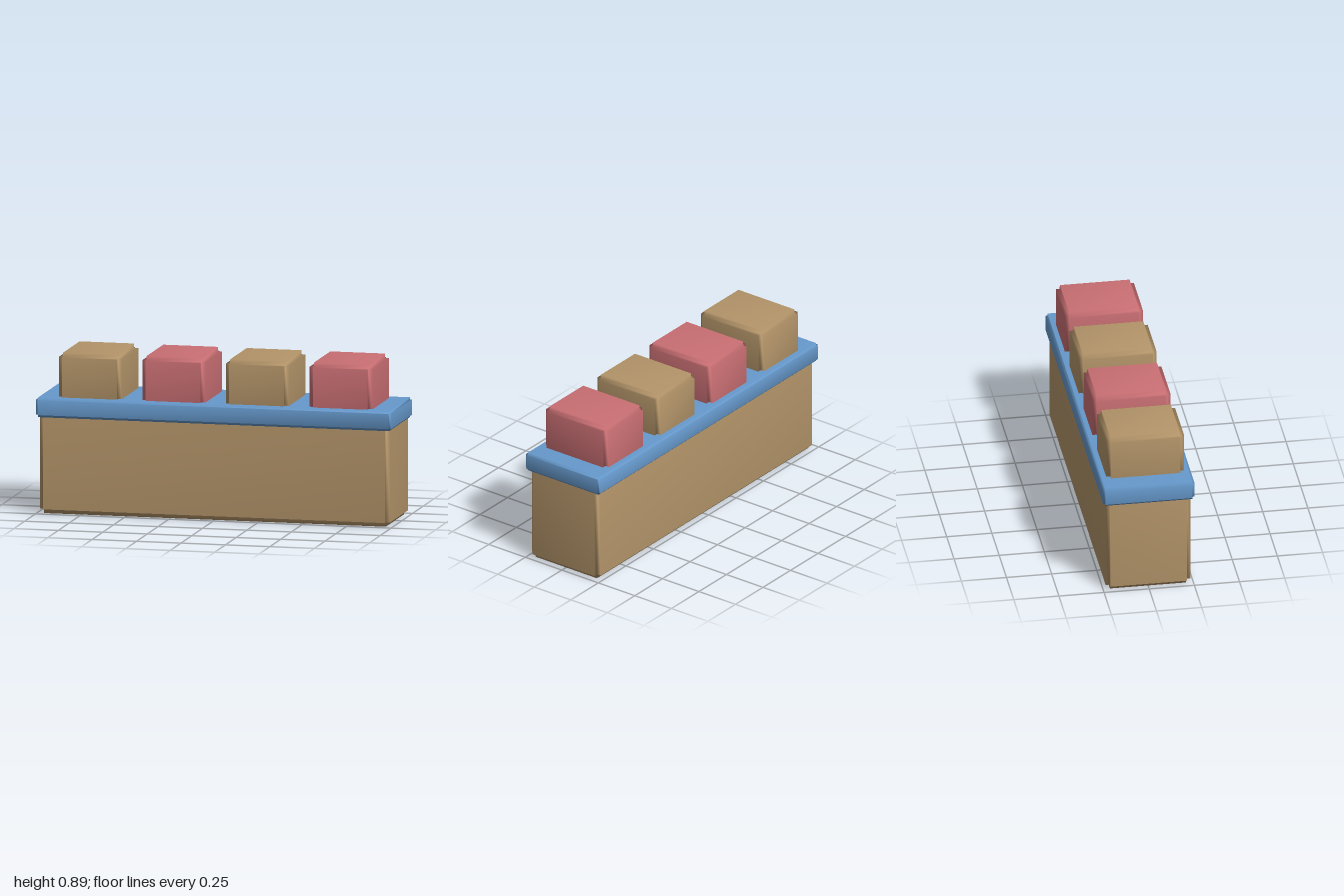
import * as THREE from 'three';

// Box whose twelve edges are cut by a square step of size b, with smooth shared normals.
function steppedBox(w, h, d, b) {
  const half = [w / 2, h / 2, d / 2];
  const positions = [], index = [];
  const sign = (bits, axis) => ((bits >> axis) & 1 ? 1 : -1);

  // Corners 0-7 belong to the core; each axis then adds 8 corners pushed outward.
  for (let axis = -1; axis < 3; axis++) {
    for (let bits = 0; bits < 8; bits++) {
      for (let k = 0; k < 3; k++) {
        positions.push(sign(bits, k) * (half[k] - (k === axis ? 0 : b)));
      }
    }
  }
  const quad = (p, q, r, s) => index.push(p, q, r, p, r, s);

  for (let a = 0; a < 3; a++) {
    const u = 1 << ((a + 1) % 3), v = 1 << ((a + 2) % 3);
    for (const side of [0, 1 << a]) {
      const ring = [side, side | u, side | u | v, side | v];
      if (!side) ring.reverse();
      const outer = ring.map((bits) => 8 + a * 8 + bits);
      quad(...outer);
      for (let i = 0; i < 4; i++) {
        const j = (i + 1) % 4;
        quad(ring[i], ring[j], outer[j], outer[i]);
      }
    }
  }
  const geometry = new THREE.BufferGeometry();
  geometry.setAttribute('position', new THREE.Float32BufferAttribute(positions, 3));
  geometry.setIndex(index);
  geometry.computeVertexNormals();
  return geometry;
}

function material(name, color) {
  const m = new THREE.MeshStandardMaterial({ color });
  m.name = name;
  return m;
}

export function createModel() {
  const model = new THREE.Group();
  model.name = 'toyWall';

  const tan = material('tan', 0xb39469);
  const blue = material('blue', 0x6699cc);
  const red = material('red', 0xc96f73);

  // Adds a stepped block standing on the given height.
  const block = (name, mat, size, x, bottom, step) => {
    const mesh = new THREE.Mesh(steppedBox(...size, step), mat);
    mesh.name = name;
    mesh.position.set(x, bottom + size[1] / 2, 0);
    model.add(mesh);
  };

  // Wall body and overhanging ledge; the body top is sunk into the ledge
  block('wallBody', tan, [1.97, 0.59, 0.47], 0, 0, 0.024);
  block('ledge', blue, [2, 0.11, 0.508], 0, 0.535, 0.0135);

  // Battlements in alternating colours, sunk into the ledge
  for (let i = 0; i < 4; i++) {
    block('battlement' + (i + 1), i % 2 ? red : tan, [0.355, 0.29, 0.432], -0.705 + i * 0.47, 0.6, 0.024);
  }
  return model;
}
